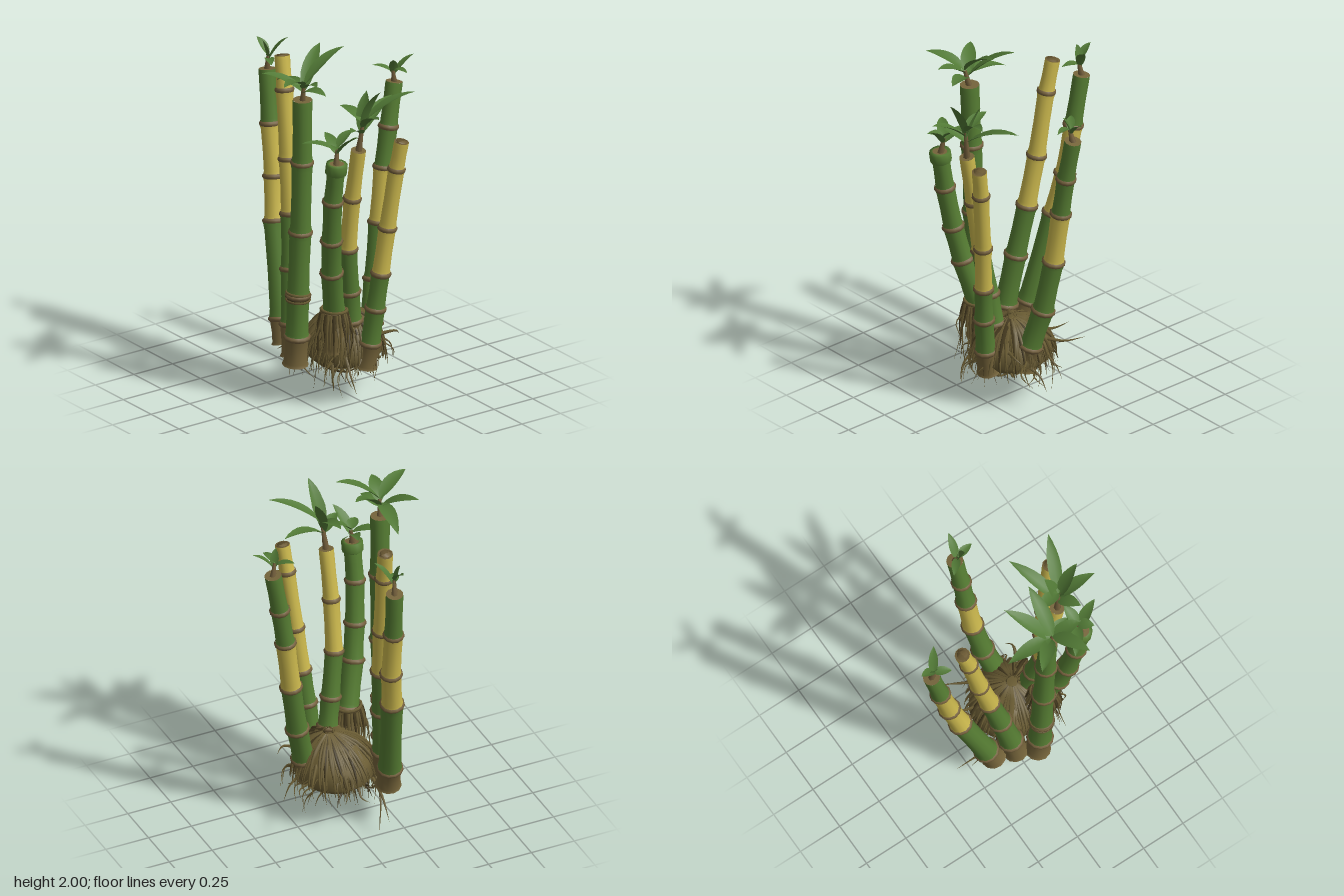
import * as THREE from 'three';

const mat = (name, color, side = THREE.FrontSide) => {
  const m = new THREE.MeshStandardMaterial({ color, side });
  m.name = name;
  return m;
};
const M = {
  g: mat('cane green', 0x567d33),
  y: mat('cane yellow', 0xccb94e),
  b: mat('husk brown', 0x76653b),
  node: mat('node brown', 0x735f3c),
  leaf: mat('leaf green', 0x527a36, THREE.DoubleSide),
  root: mat('root brown', 0x6b5d34),
  dark: mat('dark root', 0x453a1f),
};
const V = (a) => new THREE.Vector3(...a);

// small seeded generator
let seed = 7;
const rnd = (lo = 0, hi = 1) => {
  seed = (seed * 16807) % 2147483647;
  return lo + (hi - lo) * seed / 2147483647;
};

// round tube through points, with one radius for each point
function loft(pts, radii, sides) {
  const pos = [], idx = [];
  let n = null;
  pts.forEach((p, i) => {
    const t = pts[Math.min(i + 1, pts.length - 1)].clone().sub(pts[Math.max(i - 1, 0)]).normalize();
    if (!n) n = Math.abs(t.z) < 0.8 ? new THREE.Vector3(0, 0, 1) : new THREE.Vector3(1, 0, 0);
    n = n.clone().addScaledVector(t, -n.dot(t)).normalize();
    const b = t.clone().cross(n);
    for (let j = 0; j < sides; j++) {
      const a = (j / sides) * Math.PI * 2;
      const q = p.clone().addScaledVector(n, Math.cos(a) * radii[i]).addScaledVector(b, Math.sin(a) * radii[i]);
      pos.push(q.x, q.y, q.z);
      if (i < pts.length - 1) {
        const k = i * sides, j2 = (j + 1) % sides;
        idx.push(k + j, k + j2, k + sides + j, k + j2, k + sides + j2, k + sides + j);
      }
    }
  });
  const g = new THREE.BufferGeometry();
  g.setAttribute('position', new THREE.Float32BufferAttribute(pos, 3));
  g.setIndex(idx);
  g.computeVertexNormals();
  return g;
}

function add(parent, name, geo, material) {
  const m = new THREE.Mesh(geo, material);
  m.name = name;
  parent.add(m);
  return m;
}

// disc facing along a direction
function disc(parent, name, p, dir, r, material) {
  const d = add(parent, name, new THREE.CircleGeometry(r, 12), material);
  d.position.copy(p);
  d.quaternion.setFromUnitVectors(new THREE.Vector3(0, 0, 1), dir);
}

// jointed cane: nodes from base to top, one colour letter per segment
function cane(parent, { name, nodes, colors, r0, r1, hollow }) {
  const g = new THREE.Group();
  g.name = name;
  parent.add(g);
  const P = nodes.map(V), last = P.length - 1;
  const rad = (i) => r0 + (r1 - r0) * (i / last);
  for (let i = 0; i < last; i++) {
    const a = P[i], b = P[i + 1], ra = rad(i), rb = rad(i + 1);
    const end = i === last - 1 ? 1 : 1.12;
    const at = [0, 0.1, 0.5, 0.9, 1], f = [1.08, 0.96, 0.94, 1, end];
    add(g, 'caneSegment', loft(at.map((t) => a.clone().lerp(b, t)),
      at.map((t, k) => (ra + (rb - ra) * t) * f[k]), 12), M[colors[i]]);
    if (i > 0) {
      const d = b.clone().sub(P[i - 1]).normalize();
      add(g, 'nodeRing', loft([-0.014, -0.004, 0.006, 0.014].map((s) => a.clone().addScaledVector(d, s)),
        [1.04, 1.17, 1.15, 1.02].map((k) => k * ra), 12), M.node);
    }
  }
  const up = P[last].clone().sub(P[last - 1]).normalize();
  disc(g, 'baseCap', P[0], P[0].clone().sub(P[1]).normalize(), r0 * 1.08, M.b);
  if (hollow) {
    // cut rim, inner wall and dark floor
    const low = P[last].clone().addScaledVector(up, -0.05);
    add(g, 'cutRim', loft([P[last], P[last].clone().addScaledVector(up, 0.002), low], [r1, r1 * 0.72, r1 * 0.7], 12), M.node)
      .material = M.rim;
    disc(g, 'hollowFloor', low, up, r1 * 0.72, M.dark);
  } else disc(g, 'topCap', P[last], up, r1, M.b);
}
M.rim = mat('cut rim brown', 0x6e5c35, THREE.DoubleSide);

// folded blade arching from base to tip
function leaf(parent, base, tip, w) {
  const mid = base.clone().lerp(tip, 0.5);
  mid.y += 0.18 * base.distanceTo(tip);
  const curve = new THREE.QuadraticBezierCurve3(base, mid, tip);
  const pos = [], idx = [], N = 7, up = new THREE.Vector3(0, 1, 0);
  for (let i = 0; i <= N; i++) {
    const t = i / N, c = curve.getPoint(t), d = curve.getTangent(t);
    const s = d.clone().cross(up).normalize(), n = s.clone().cross(d);
    const h = w * (0.12 * (1 - t) + Math.pow(Math.sin(Math.PI * Math.pow(t, 0.8)), 0.9));
    for (const k of [-1, 0, 1]) {
      const q = c.clone().addScaledVector(s, k * h).addScaledVector(n, Math.abs(k) * h * 0.35);
      pos.push(q.x, q.y, q.z);
    }
    if (i < N) for (const k of [0, 1]) {
      const a = i * 3 + k;
      idx.push(a, a + 1, a + 3, a + 1, a + 4, a + 3);
    }
  }
  const g = new THREE.BufferGeometry();
  g.setAttribute('position', new THREE.Float32BufferAttribute(pos, 3));
  g.setIndex(idx);
  g.computeVertexNormals();
  add(parent, 'leaf', g, M.leaf);
}

// shoot: brown stem with leaves ending at the given tips
function shoot(parent, from, to, w, tips) {
  const g = new THREE.Group();
  g.name = 'shoot';
  parent.add(g);
  const a = V(from), b = V(to);
  add(g, 'shootStem', loft([a, a.clone().lerp(b, 0.5), b], [0.02, 0.013, 0.009], 6), M.node);
  tips.forEach((t, i) => leaf(g, a.clone().lerp(b, 0.6 + 0.4 * ((i * 2) % 3) / 2), V(t), w));
}

function root(parent, pts, r, material) {
  const c = new THREE.CatmullRomCurve3(pts).getPoints(7);
  add(parent, 'root', loft(c, c.map((_, i) => r * (1.02 - i / 7)), 4), material);
}

export function createModel() {
  const model = new THREE.Group();
  model.name = 'bambooClump';

  const canes = [
    { name: 'leftCane', r0: 0.066, r1: 0.046, colors: 'bgyyg', nodes: [[-0.16, 0.24, 0.2], [-0.2, 0.37, 0.19], [-0.33, 0.87, 0.14], [-0.38, 1.1, 0.11], [-0.43, 1.38, 0.1], [-0.475, 1.67, 0.085]] },
    { name: 'leftYellowCane', hollow: true, r0: 0.066, r1: 0.041, colors: 'bggyyy', nodes: [[-0.04, 0.22, 0.23], [-0.065, 0.39, 0.22], [-0.11, 0.68, 0.19], [-0.16, 0.97, 0.16], [-0.21, 1.26, 0.14], [-0.265, 1.63, 0.125], [-0.3, 1.81, 0.115]] },
    { name: 'backCane', r0: 0.064, r1: 0.046, colors: 'bggygg', nodes: [[0.11, 0.22, -0.13], [0.1, 0.36, -0.17], [0.06, 0.58, -0.225], [0.03, 0.88, -0.275], [0.015, 1.18, -0.315], [0.01, 1.4, -0.35], [0, 1.64, -0.395]] },
    { name: 'frontCane', r0: 0.066, r1: 0.052, colors: 'bgggg', nodes: [[0.06, 0.22, 0.29], [0.075, 0.38, 0.29], [0.085, 0.62, 0.29], [0.1, 0.98, 0.285], [0.115, 1.38, 0.285], [0.125, 1.74, 0.29]] },
    { name: 'innerCane', r0: 0.06, r1: 0.04, colors: 'bggyy', nodes: [[0.17, 0.3, 0], [0.19, 0.45, 0.02], [0.205, 0.62, 0.04], [0.235, 0.88, 0.075], [0.28, 1.18, 0.08], [0.33, 1.47, 0.075]] },
    { name: 'rightFrontCane', r0: 0.062, r1: 0.048, colors: 'bgggg', nodes: [[0.18, 0.3, 0.12], [0.2, 0.53, 0.14], [0.255, 0.78, 0.195], [0.295, 0.98, 0.225], [0.335, 1.22, 0.245], [0.37, 1.44, 0.245]] },
    { name: 'rightYellowCane', hollow: true, r0: 0.058, r1: 0.04, colors: 'bggyyy', nodes: [[0.265, 0.2, -0.02], [0.29, 0.34, -0.03], [0.315, 0.54, -0.045], [0.335, 0.74, -0.065], [0.36, 1.0, -0.09], [0.4, 1.34, -0.12], [0.425, 1.5, -0.135]] },
  ];
  canes.forEach((c) => cane(model, c));

  // collar on the short green cane
  add(model, 'topCollar', loft([[0.362, 1.39, 0.245], [0.362, 1.392, 0.245], [0.371, 1.445, 0.245], [0.371, 1.447, 0.245]].map(V),
    [0.046, 0.058, 0.058, 0.04], 12), M.g);

  // leafy shoots
  shoot(model, [-0.475, 1.66, 0.085], [-0.46, 1.75, 0.09], 0.024, [[-0.405, 1.85, 0], [-0.55, 1.83, 0.1], [-0.375, 1.73, 0.13], [-0.47, 1.84, 0.12]]);
  shoot(model, [0, 1.63, -0.395], [0.01, 1.71, -0.38], 0.022, [[0.03, 1.78, -0.5], [0.11, 1.72, -0.4], [-0.07, 1.73, -0.3], [0.04, 1.78, -0.36]]);
  shoot(model, [0.125, 1.72, 0.29], [0.15, 1.83, 0.3], 0.038, [[-0.01, 1.97, 0.08], [0.165, 2, 0.05], [-0.12, 1.77, 0.28], [-0.02, 1.88, 0.45], [0.25, 1.9, 0.5], [0.31, 1.88, 0.33], [0.28, 1.8, 0.25]]);
  shoot(model, [0.33, 1.46, 0.075], [0.35, 1.63, 0.06], 0.034, [[0.225, 1.68, -0.22], [0.46, 1.78, -0.2], [0.55, 1.72, 0.1], [0.41, 1.62, 0.18], [0.18, 1.68, 0.09], [0.48, 1.84, 0.04], [0.3, 1.78, 0]]);
  shoot(model, [0.365, 1.43, 0.245], [0.355, 1.53, 0.23], 0.03, [[0.49, 1.62, 0.19], [0.42, 1.55, 0.29], [0.24, 1.55, 0.38], [0.2, 1.56, 0.2], [0.34, 1.6, 0.12]]);

  // root ball core
  const profile = [[0, 0.21], [0.17, 0.2], [0.22, 0.25], [0.2, 0.34], [0.13, 0.42], [0, 0.45]];
  const core = add(model, 'rootBall', new THREE.LatheGeometry(profile.map((p) => new THREE.Vector2(...p)), 24), M.root);
  core.position.x = 0.08;
  core.scale.z = 0.95;

  // fibres combed over the ball from its crown
  const fibres = new THREE.Group();
  fibres.name = 'rootFibres';
  model.add(fibres);
  for (let i = 0; i < 120; i++) {
    const a = (i / 120) * Math.PI * 2 + rnd(-0.06, 0.06), R = rnd(0.215, 0.245), low = rnd(0.17, 0.26), twist = rnd(-0.25, 0.25);
    const pts = [0.08, 0.35, 0.6, 0.85, 1].map((t) => {
      const f = t * Math.PI / 2, q = a + twist * t, s = Math.sin(f) * R;
      return new THREE.Vector3(0.11 - 0.03 * t + Math.cos(q) * s, low + (0.465 - low) * Math.cos(f), -0.02 + 0.02 * t + Math.sin(q) * s * 0.96);
    });
    root(fibres, pts, rnd(0.011, 0.019), i % 6 ? M.root : M.dark);
  }

  // loose rootlets around and below the rim
  for (let i = 0; i < 60; i++) {
    const a = rnd(0, Math.PI * 2), r = rnd(0.14, 0.22), out = rnd(0.02, 0.09), y = rnd(0.2, 0.32);
    const at = (k, h, d) => new THREE.Vector3(0.08 + Math.cos(a + d) * k, h, Math.sin(a + d) * k);
    root(fibres, [at(r, y, 0), at(r + out * 0.7, y - 0.03, 0.1), at(r + out, y - rnd(0.06, 0.15), rnd(-0.2, 0.3))], rnd(0.005, 0.009), i % 3 ? M.root : M.dark);
  }
  // tangled underside
  for (let i = 0; i < 30; i++) {
    const p = () => new THREE.Vector3(0.08 + rnd(-0.17, 0.17), rnd(0.18, 0.21), rnd(-0.16, 0.16));
    root(fibres, [p(), p(), p()], 0.01, i % 2 ? M.root : M.dark);
  }
  // long straggling roots
  [
    [[-0.05, 0.24, 0.18], [-0.17, 0.18, 0.15], [-0.24, 0, 0.11]],
    [[-0.08, 0.24, 0.15], [-0.22, 0.2, 0.14], [-0.34, 0.13, 0.12]],
    [[-0.1, 0.22, 0.14], [-0.04, 0.15, 0.17], [0.06, 0.1, 0.16]],
    [[0.2, 0.25, 0.15], [0.23, 0.16, 0.17], [0.2, 0.07, 0.14]],
    [[0.25, 0.28, 0.1], [0.32, 0.2, 0.12], [0.35, 0.09, 0.1]],
    [[0.12, 0.24, -0.18], [0.1, 0.2, -0.25], [0.09, 0.12, -0.29]],
    [[0, 0.36, -0.14], [-0.1, 0.33, -0.21], [-0.2, 0.34, -0.26]],
    [[-0.08, 0.34, -0.05], [-0.16, 0.33, -0.07], [-0.22, 0.36, -0.11]],
    [[0.22, 0.34, -0.14], [0.25, 0.35, -0.22], [0.23, 0.32, -0.26]],
  ].forEach((p) => root(fibres, p.map(V), 0.012, M.root));

  // root cuffs: wrapped rings and hanging strands
  const cuff = (x, y, z, r, n) => {
    for (let i = 0; i < 3; i++) {
      const ring = add(model, 'rootCuff', new THREE.TorusGeometry(r, 0.009, 5, 16), i % 2 ? M.dark : M.root);
      ring.position.set(x, y - i * 0.018, z);
      ring.rotation.set(Math.PI / 2 + rnd(-0.12, 0.12), rnd(-0.12, 0.12), 0);
    }
    for (let i = 0; i < n; i++) {
      const a = (i / n) * Math.PI * 2, end = rnd(0.1, 0.3);
      const at = (k, h) => new THREE.Vector3(x + Math.cos(a) * k, h, z + Math.sin(a) * k);
      root(fibres, [at(r, y - 0.01), at(r + 0.02, y - 0.08), at(r + rnd(0.01, 0.05), (y + end) / 2), at(r + rnd(0, 0.07), end)], rnd(0.008, 0.014), i % 3 ? M.root : M.dark);
    }
  };
  cuff(0.085, 0.63, 0.29, 0.06, 0);
  cuff(0.2, 0.54, 0.14, 0.068, 30);

  return model;
}
